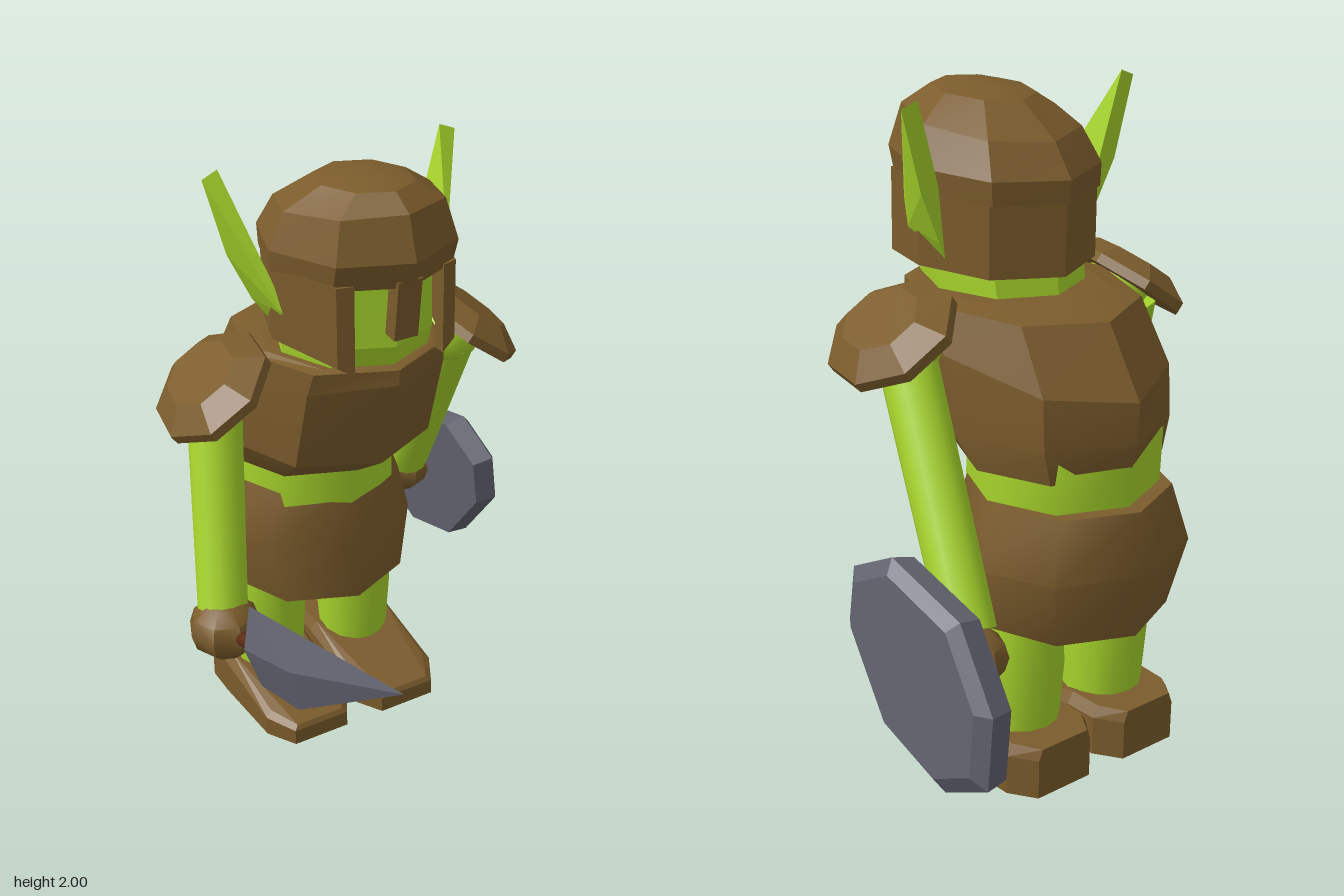
import * as THREE from 'three';
import { toCreasedNormals } from 'three/addons/utils/BufferGeometryUtils.js';
import { ConvexGeometry } from 'three/addons/geometries/ConvexGeometry.js';

const mat = (name, color) => Object.assign(new THREE.MeshStandardMaterial({ color }), { name });
const skin = mat('green skin', 0xa8d62c);
const leather = mat('brown leather', 0x7b5c2c);
const steel = mat('grey steel', 0x62626f);
const wood = mat('dark wood', 0x5a2c14);
const V = (x, y, z) => new THREE.Vector3(x, y, z);

function mesh(name, geometry, material, parent) {
  const m = new THREE.Mesh(geometry, material);
  m.name = name;
  parent.add(m);
  return m;
}

// Skin a stack of equal-sized rings and cap both ends
function loft(rings, crease = 0.2) {
  const p = [];
  const tri = (...vs) => vs.forEach((v) => p.push(v.x, v.y, v.z));
  const n = rings[0].length;
  for (let k = 0; k + 1 < rings.length; k++) {
    for (let i = 0; i < n; i++) {
      const j = (i + 1) % n, a = rings[k], b = rings[k + 1];
      tri(a[i], a[j], b[j]);
      tri(a[i], b[j], b[i]);
    }
  }
  const first = rings[0], last = rings[rings.length - 1];
  for (let i = 1; i + 1 < n; i++) {
    tri(first[0], first[i + 1], first[i]);
    tri(last[0], last[i], last[i + 1]);
  }
  const g = new THREE.BufferGeometry();
  g.setAttribute('position', new THREE.Float32BufferAttribute(p, 3));
  g.computeVertexNormals();
  return toCreasedNormals(g, crease);
}

// Eight-sided ring with its own front and back depth and height
function ring([yFront, yBack, zFront, zBack, rx]) {
  return Array.from({ length: 8 }, (_, i) => {
    const a = (i * Math.PI) / 4, t = (1 + Math.cos(a)) / 2;
    return V(rx * Math.sin(a), yBack + (yFront - yBack) * t, zBack + (zFront - zBack) * t);
  });
}
const shell = (rows, crease) => loft(rows.map(ring), crease);

function rod(name, a, b, ra, rb, material, parent) {
  const m = mesh(name, new THREE.CylinderGeometry(rb, ra, a.distanceTo(b), 14), material, parent);
  m.position.copy(a).lerp(b, 0.5);
  m.quaternion.setFromUnitVectors(V(0, 1, 0), b.clone().sub(a).normalize());
  return m;
}

export function createModel() {
  const root = new THREE.Group();
  root.name = 'goblinWarrior';
  const body = new THREE.Group();
  body.name = 'body';
  body.position.x = -0.038;
  root.add(body);

  // Torso and armour
  mesh('waist', shell([[0.8, 0.8, -0.19, -0.75, 0.285], [1.05, 1.05, -0.19, -0.76, 0.285]], 0.9), skin, body);
  mesh('skirt', shell([
    [0.49, 0.49, -0.15, -0.8, 0.31], [0.7, 0.7, -0.165, -0.84, 0.37], [0.88, 0.88, -0.2, -0.8, 0.3],
  ], 0.85), leather, body);
  mesh('breastplate', shell([
    [0.97, 0.97, -0.15, -0.75, 0.305], [1.07, 1.07, 0, -0.775, 0.34],
    [1.38, 1.2, 0.1, -0.78, 0.338], [1.43, 1.4, 0.1, -0.65, 0.32], [1.435, 1.425, 0.07, -0.5, 0.27],
  ]), leather, body);

  // Head under a domed helmet
  mesh('head', shell([
    [1.42, 1.42, 0.06, -0.44, 0.235], [1.5, 1.5, 0.085, -0.43, 0.24], [1.8, 1.8, 0.085, -0.4, 0.23],
  ]), skin, body);
  mesh('helmetDome', shell([
    [1.715, 1.7, 0.16, -0.475, 0.283], [1.8, 1.765, 0.19, -0.48, 0.288],
    [1.93, 1.86, 0.15, -0.41, 0.245], [1.975, 1.955, 0.08, -0.27, 0.14], [1.985, 1.98, 0.02, -0.16, 0.07],
  ], 0.3), leather, body);

  // Helmet wall: x, z, bottom height, swept around the back from cheek to cheek
  const half = [[0.15, 0.1, 1.45], [0.2, 0.085, 1.48], [0.283, -0.155, 1.5], [0.2, -0.37, 1.49]];
  const wall = [...half, [0, -0.465, 1.485], ...half.map(([x, z, y]) => [-x, z, y]).reverse()];
  mesh('helmetWall', loft(wall.map(([x, z, y], i) => {
    const end = i === 0 || i === wall.length - 1;
    const ix = end ? x : x * 0.87, iz = end ? z - 0.045 : -0.15 + (z + 0.15) * 0.87;
    return [V(x, 1.73, z), V(x, y, z), V(ix, y, iz), V(ix, 1.73, iz)];
  })), leather, body);
  const nose = mesh('noseGuard', new THREE.BoxGeometry(0.08, 0.19, 0.05), leather, body);
  nose.position.set(0, 1.645, 0.122);
  nose.rotation.x = 0.12;

  for (const s of [1, -1]) {
    const side = s > 0 ? 'left' : 'right';

    // Ear
    mesh(side + 'Ear', new ConvexGeometry([
      [0.373, 2, -0.275], [0.425, 1.98, -0.27], [0.295, 1.69, -0.105], [0.275, 1.6, -0.095],
      [0.25, 1.53, -0.235], [0.36, 1.74, -0.27], [0.29, 1.59, -0.26], [0.3, 1.75, -0.27],
    ].map(([x, y, z]) => V(s * x, y, z))), skin, body);

    // Leg
    const leg = mesh(side + 'Leg', new THREE.LatheGeometry(
      [[0.118, 0.1], [0.134, 0.33], [0.125, 0.5], [0.12, 0.56]].map(([r, y]) => new THREE.Vector2(r, y)), 14), skin, body);
    leg.position.set(s * 0.17, 0, -0.49);

    // Boot: half width, length position, top height; the top is drawn in
    const boot = [];
    for (const [w, z, h] of [[0.1, -0.12, 0.07], [0.155, -0.22, 0.085], [0.16, -0.51, 0.16], [0.155, -0.62, 0.16], [0.1, -0.7, 0.16]]) {
      for (const k of [1, -1]) {
        boot.push(V(s * 0.17 + k * w, 0, z), V(s * 0.17 + k * w, h * 0.78, z), V(s * 0.17 + k * w * 0.86, h, z - 0.01 * (z > -0.4)));
      }
    }
    mesh(side + 'Boot', new ConvexGeometry(boot), leather, body);

    // Shoulder ball
    mesh(side + 'Shoulder', new THREE.SphereGeometry(0.108, 14, 10), skin, body).position.set(s * 0.4, 1.325, -0.25);

    // Shoulder plate: a flattened octagonal dome sloping outwards
    const pad = [];
    for (let i = 0; i < 8; i++) {
      const a = ((i + 0.5) * Math.PI) / 4, c = Math.cos(a) * 1.06, d = Math.sin(a) * 1.06;
      pad.push(V(0.185 * c, -0.03, 0.235 * d), V(0.185 * c, 0, 0.235 * d), V(0.11 * c, 0.05, 0.15 * d));
    }
    const plate = mesh(side + 'ShoulderPlate', new ConvexGeometry(pad), leather, body);
    plate.position.set(s * 0.452, 1.362, -0.24);
    plate.rotation.set(0, -0.2, -s * 0.62, 'YZX');
  }

  // Arms and gloves
  const arms = [
    ['left', V(0.36, 1.32, -0.23), V(0.475, 0.62, -0.675), V(0.475, 0.56, -0.7), 0.095],
    ['right', V(-0.45, 1.32, -0.3), V(-0.565, 0.68, -0.08), V(-0.572, 0.625, -0.055), 0.115],
  ];
  for (const [side, top, wrist, hand, r] of arms) {
    rod(side + 'Arm', top, wrist, 0.086, 0.078, skin, root);
    const glove = mesh(side + 'Glove', toCreasedNormals(new THREE.SphereGeometry(r, 8, 6), 0.7), leather, root);
    glove.position.copy(hand);
    glove.scale.y = 0.88;
  }

  // Sword: ridged blade and handle
  const bx = -0.566;
  mesh('swordBlade', new ConvexGeometry([
    V(bx, 0.79, 0.105), V(bx, 0.535, 0.165), V(bx, 0.6, 0.4), V(bx, 1.03, 0.97),
    ...[1, -1].flatMap((k) => [V(bx + k * 0.038, 0.665, 0.135), V(bx + k * 0.036, 0.76, 0.42)]),
  ]), steel, root);
  rod('swordHandle', V(bx, 0.55, -0.26), V(bx, 0.67, 0.16), 0.022, 0.022, wood, root);

  // Shield: leaning stretched octagon with a bevelled outer face
  const rim = [[0.32, 0.195], [0.15, 0.285], [-0.155, 0.215], [-0.315, 0.01], [-0.32, -0.2], [-0.15, -0.287], [0.115, -0.215], [0.325, 0.035]];
  const shield = mesh('shield', new ConvexGeometry(
    [[-0.052, 0.96], [0.02, 1], [0.05, 0.86]].flatMap(([x, k]) => rim.map(([z, y]) => V(x, y * k, z * k)))), steel, root);
  shield.position.set(0.61, 0.535, -0.65);
  shield.rotation.z = 0.09;

  return root;
}
